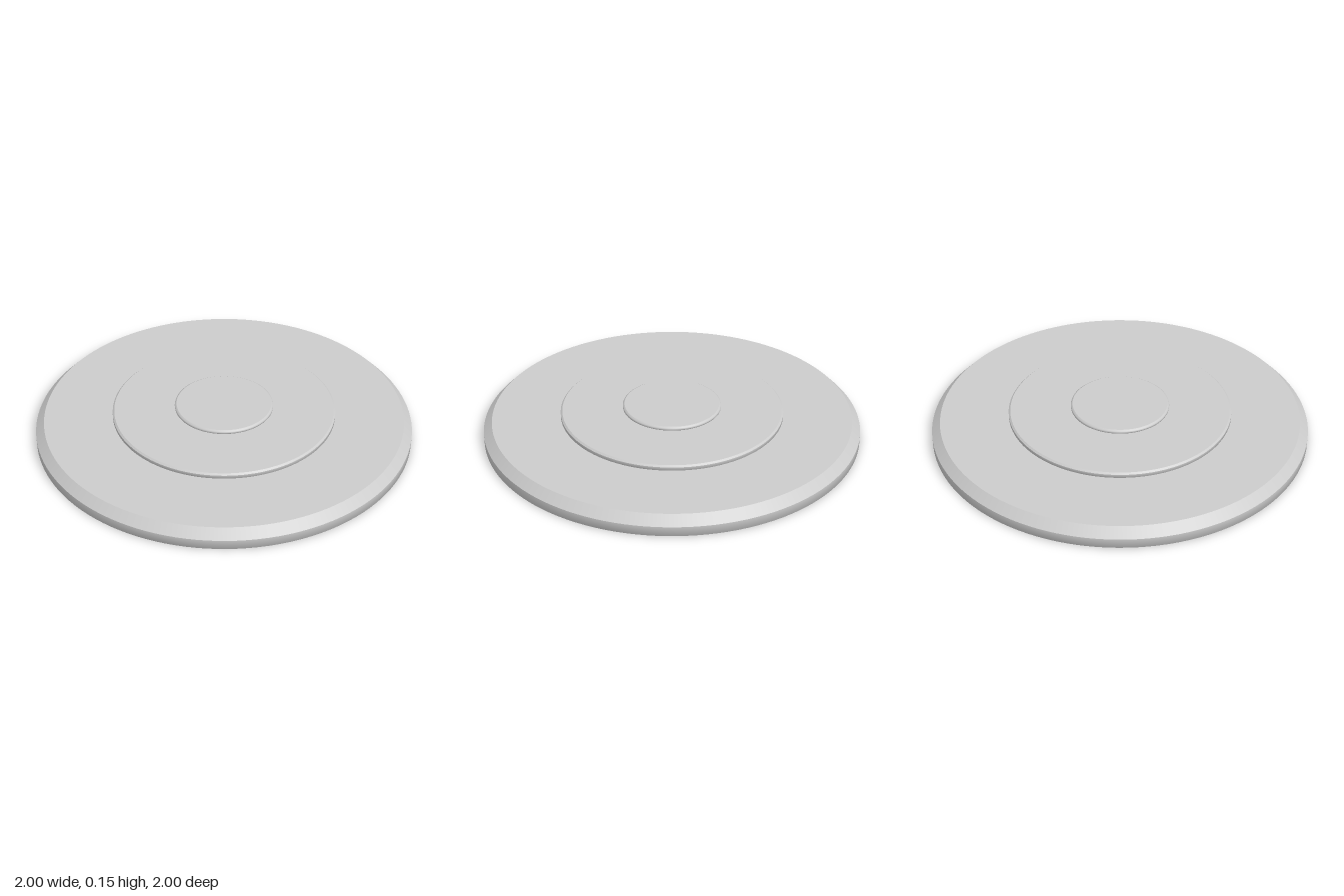
import * as THREE from 'three';

const material = new THREE.MeshStandardMaterial({ color: 0xcccccc, side: THREE.DoubleSide });

// Lathed part; a third value of 1 doubles the point so that its edge stays sharp
function lathed(name, profile) {
  const points = [];
  for (const [r, y, sharp] of profile) {
    points.push(new THREE.Vector2(r, y));
    if (sharp) points.push(new THREE.Vector2(r, y));
  }
  const mesh = new THREE.Mesh(new THREE.LatheGeometry(points, 128), material);
  mesh.name = name;
  return mesh;
}

export function createModel() {
  const group = new THREE.Group();
  group.name = 'steppedDisc';

  // Broad base: softened lower rim, upright wall and chamfered top
  group.add(lathed('base', [
    [0, 0], [0.975, 0, 1], [1, 0], [1, 0.05, 1], [0.955, 0.095, 1], [0, 0.095],
  ]));

  // Middle tier with a small bevel
  group.add(lathed('middleTier', [
    [0.58, 0.095], [0.592, 0.1], [0.592, 0.118, 1], [0.583, 0.126, 1], [0, 0.126],
  ]));

  // Central button with rounded edges
  group.add(lathed('centreButton', [
    [0.253, 0.126], [0.261, 0.131], [0.262, 0.138], [0.26, 0.144],
    [0.252, 0.149, 1], [0, 0.149],
  ]));

  return group;
}
